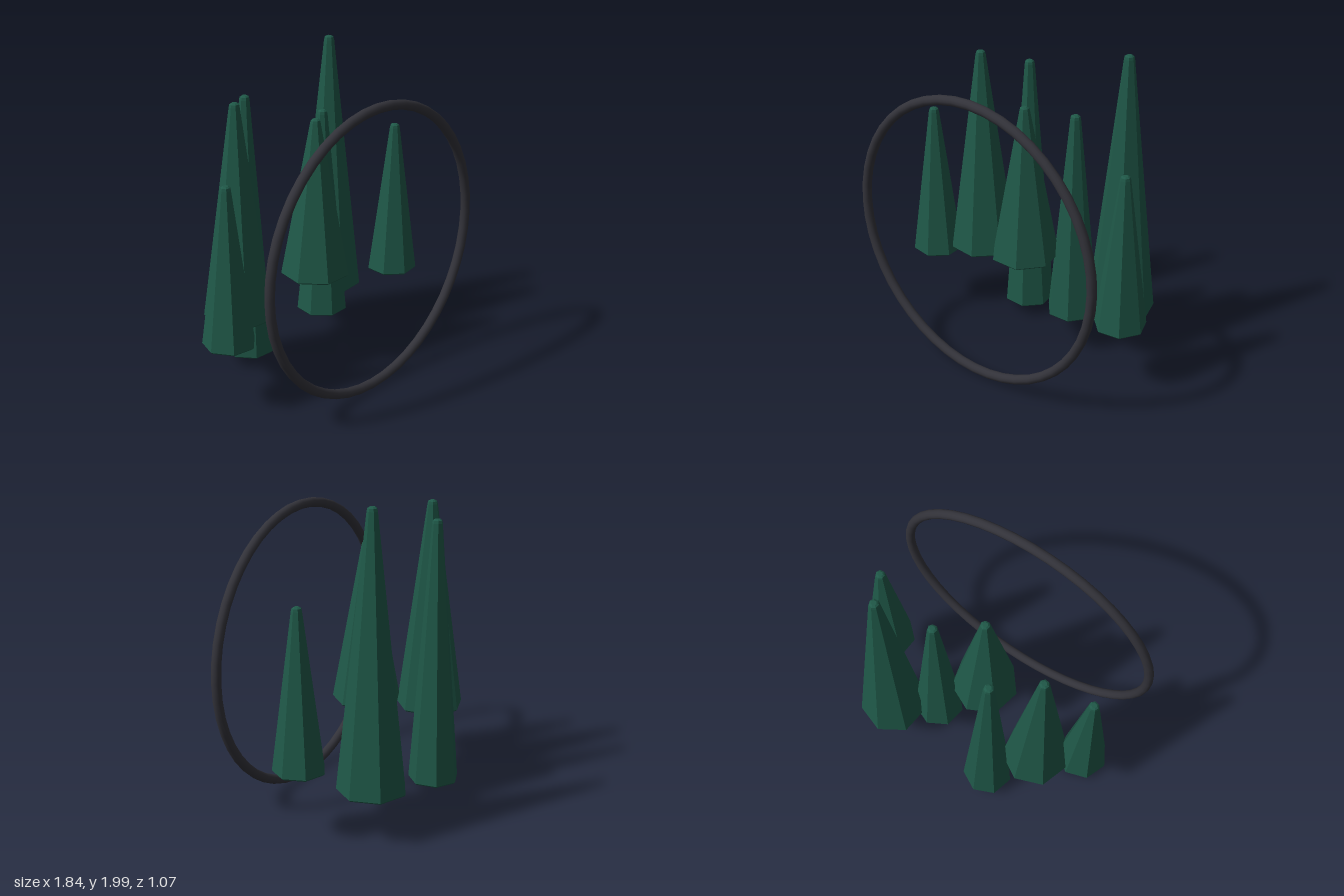
import * as THREE from 'three';

export function createModel() {
  const model = new THREE.Group();
  const green = new THREE.MeshStandardMaterial({ color: 0x1f5848, flatShading: true });
  const dark = new THREE.MeshStandardMaterial({ color: 0x323239 });

  // Seven-sided tapered tree with softened rims, closed at both ends
  function tree(x, z, base, top, radius) {
    const h = top - base;
    const tip = 0.033;
    const profile = [
      [0, 0], [radius - 0.01, 0], [radius, 0.01],
      [tip, h - 0.025], [tip * 0.87, h - 0.008], [tip * 0.5, h], [0, h],
    ].map(([r, y]) => new THREE.Vector2(r, y));
    const mesh = new THREE.Mesh(new THREE.LatheGeometry(profile, 7), green);
    mesh.name = 'tree';
    mesh.position.set(x, base, z);
    mesh.rotation.y = Math.PI + 0.2 * x; // fan out gently from the middle
    return mesh;
  }

  // Zigzag row of trees: x, z, base height, top height, radius
  const trees = new THREE.Group();
  trees.name = 'trees';
  [
    [-0.75, 0.025, 0.43, 1.435, 0.162],
    [-0.5, -0.147, 0.47, 1.83, 0.215],
    [-0.25, -0.32, 0.08, 1.78, 0.162],
    [0, 0.025, 0.645, 1.65, 0.215],
    [0.25, -0.147, 0.255, 1.61, 0.162],
    [0.5, -0.32, 0.295, 2.0, 0.215],
    [0.75, 0.025, 0.43, 1.435, 0.162],
  ].forEach((t) => trees.add(tree(...t)));
  model.add(trees);

  // Upright hoop standing in front of the trees
  const hoop = new THREE.Mesh(new THREE.TorusGeometry(0.892, 0.03, 12, 48), dark);
  hoop.name = 'hoop';
  hoop.position.set(0, 0.928, 0.505);
  model.add(hoop);

  return model;
}
